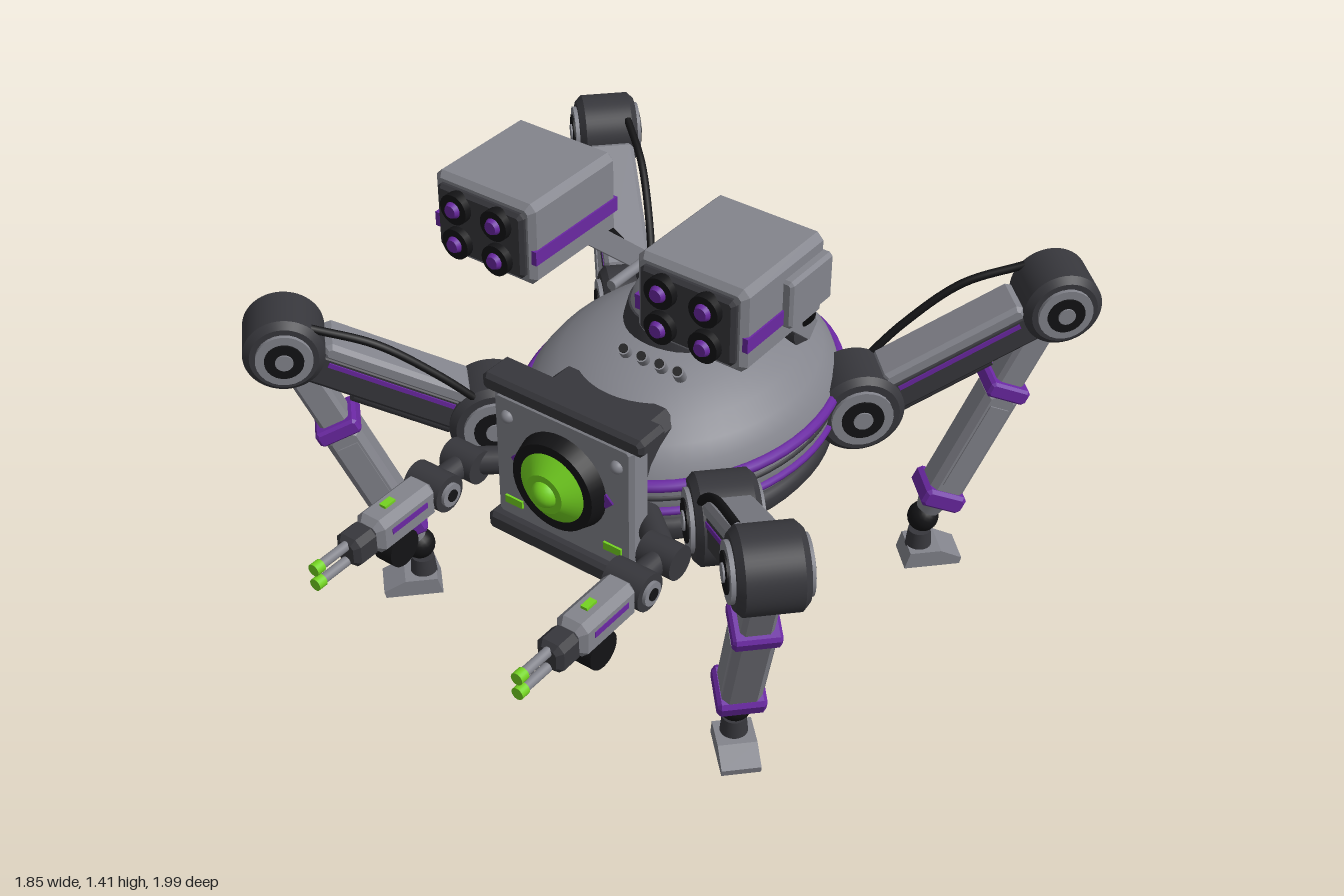
import * as THREE from 'three';

const mat = (name, color) => Object.assign(new THREE.MeshStandardMaterial({ color }), { name });
const grey = mat('hull grey', 0x83848c);
const dark = mat('dark armour', 0x37373c);
const black = mat('rubber black', 0x131315);
const purple = mat('purple trim', 0x6a28a2);
const green = mat('green glow', 0x74d321);

function add(parent, name, geo, material, x = 0, y = 0, z = 0) {
  const m = new THREE.Mesh(geo, material);
  m.name = name;
  m.position.set(x, y, z);
  parent.add(m);
  return m;
}
function group(parent, name, x = 0, y = 0, z = 0) {
  const g = new THREE.Group();
  g.name = name;
  g.position.set(x, y, z);
  parent.add(g);
  return g;
}
const box = (w, h, d) => new THREE.BoxGeometry(w, h, d);
const ball = (r) => new THREE.SphereGeometry(r, 20, 14);
const cyl = (r, len, axis = 'y', r2 = r, n = 24) => {
  const g = new THREE.CylinderGeometry(r2, r, len, n);
  if (axis === 'x') g.rotateZ(-Math.PI / 2);
  if (axis === 'z') g.rotateX(Math.PI / 2);
  return g;
};
// Box with every edge chamfered by c, centred on its origin
function chamfer(w, h, d, c) {
  const a = w / 2 - c, b = h / 2 - c, k = c * 0.6;
  const pts = [[-a + k, -b], [a - k, -b], [a, -b + k], [a, b - k], [a - k, b], [-a + k, b], [-a, b - k], [-a, -b + k]];
  const shape = new THREE.Shape(pts.map(p => new THREE.Vector2(...p)));
  const g = new THREE.ExtrudeGeometry(shape, { depth: d - 2 * c, bevelThickness: c, bevelSize: c, bevelSegments: 1 });
  return g.translate(0, 0, c - d / 2);
}
const tube = (pts, r) => new THREE.TubeGeometry(
  new THREE.CatmullRomCurve3(pts.map(p => new THREE.Vector3(...p))), 24, r, 8);
const lathe = (pts) => new THREE.LatheGeometry(pts.map(p => new THREE.Vector2(...p)), 56);

// Straight part (long in y) laid between two points
function between(mesh, a, b) {
  const p = new THREE.Vector3(...a), q = new THREE.Vector3(...b);
  mesh.position.copy(p).add(q).multiplyScalar(0.5);
  mesh.quaternion.setFromUnitVectors(new THREE.Vector3(0, 1, 0), q.sub(p).normalize());
}

// Dark vent with glowing slats, facing +z
function vent(parent, w, h, n) {
  add(parent, 'ventFrame', chamfer(w, h, 0.03, 0.006), dark);
  for (let i = 0; i < n; i++)
    add(parent, 'ventSlat', box(w * 0.8, h * 0.07, 0.006), green, 0, h * ((i + 0.5) / n - 0.5) * 0.8, 0.017);
}

// Drum joint with hub discs, axis along z
function drum(parent, name, r, len, x = 0, y = 0) {
  const g = group(parent, name, x, y, 0);
  const e = len / 2, c = 0.018;
  const body = lathe([[0, -e], [r - c, -e], [r - c, -e], [r, -e + c], [r, -e + c], [r, e - c], [r, e - c], [r - c, e], [r - c, e], [0, e]]);
  add(g, 'drumBody', body.rotateX(Math.PI / 2), dark);
  add(g, 'hubDisc', cyl(r * 0.7, len + 0.024, 'z'), grey);
  add(g, 'hubRing', cyl(r * 0.48, len + 0.034, 'z'), black);
  add(g, 'hubCap', cyl(r * 0.22, len + 0.044, 'z'), grey);
}

function addBody(root) {
  const body = group(root, 'body', 0, 0, -0.17);
  body.scale.z = 1.23;
  add(body, 'belly', lathe([[0, 0.39], [0.17, 0.397], [0.27, 0.415], [0.35, 0.45], [0.395, 0.49]]), grey);
  add(body, 'lowerRim', lathe([[0.37, 0.47], [0.4, 0.475], [0.41, 0.49], [0.41, 0.52], [0.4, 0.535], [0.38, 0.54]]), dark);
  add(body, 'waist', lathe([[0.38, 0.53], [0.405, 0.56], [0.415, 0.62], [0.415, 0.69]]), grey);
  add(body, 'dome', lathe([[0.415, 0.69], [0.4, 0.735], [0.37, 0.775], [0.32, 0.818], [0.25, 0.86], [0.17, 0.89], [0.08, 0.907], [0, 0.91]]), grey);
  for (const [r, y, t] of [[0.416, 0.68, 0.018], [0.412, 0.59, 0.013]])
    add(body, 'purpleRing', new THREE.TorusGeometry(r, t, 10, 64).rotateX(Math.PI / 2), purple, 0, y, 0);
  add(body, 'darkRing', new THREE.TorusGeometry(0.41, 0.01, 8, 64).rotateX(Math.PI / 2), dark, 0, 0.635, 0);

  const rear = group(root, 'rearVent', 0, 0.755, -0.645);
  rear.rotation.set(-0.6, Math.PI, 0, 'YXZ');
  vent(rear, 0.2, 0.12, 3);

  // Row of small exhaust pipes on the dome
  for (let i = 0; i < 4; i++) {
    const p = group(root, 'exhaustPipe', -0.03 + i * 0.06, 0.9, 0.06);
    p.rotation.set(0.7, 0, -0.3);
    add(p, 'pipe', cyl(0.017, 0.08), grey);
    add(p, 'pipeMouth', cyl(0.013, 0.006), black, 0, 0.04, 0);
  }
}

function addTurret(root) {
  const t = group(root, 'sensorTurret', 0, 0, -0.18);
  add(t, 'turretBase', cyl(0.175, 0.06, 'y', 0.16, 40), dark, 0, 0.925, 0);
  add(t, 'turretDome', lathe([[0.155, 0.95], [0.145, 0.985], [0.12, 1.02], [0.08, 1.045], [0, 1.055]]), grey);
  add(t, 'sensorHead', chamfer(0.14, 0.1, 0.17, 0.015), grey, 0, 1.085, 0.02);
  add(t, 'lensRing', cyl(0.047, 0.03, 'z'), black, 0, 1.09, 0.11);
  add(t, 'lens', ball(0.036), green, 0, 1.09, 0.115);
  for (const s of [-1, 1]) {
    add(t, 'sensorRod', cyl(0.015, 0.22, 'z'), grey, s * 0.092, 1.08, 0.11);
    add(t, 'rodMount', cyl(0.024, 0.07, 'z'), dark, s * 0.088, 1.08, 0.02);
  }
}

function addFace(root) {
  const f = group(root, 'facePlate');
  add(f, 'neck', chamfer(0.4, 0.36, 0.22, 0.03), dark, 0, 0.66, 0.22);
  add(f, 'plate', chamfer(0.47, 0.42, 0.08, 0.012), grey, 0, 0.665, 0.345);
  add(f, 'browBar', chamfer(0.54, 0.055, 0.11, 0.012), dark, 0, 0.892, 0.335);
  add(f, 'chinBar', chamfer(0.51, 0.06, 0.12, 0.012), dark, 0, 0.43, 0.35);
  add(f, 'eyeRing', cyl(0.15, 0.05, 'z', 0.135, 40), black, 0, 0.675, 0.405);
  add(f, 'eye', cyl(0.108, 0.035, 'z', 0.06, 40), green, 0, 0.675, 0.447);
  add(f, 'pupil', ball(0.042), green, 0, 0.675, 0.452);
  for (const s of [-1, 1]) {
    add(f, 'eyeMarker', cyl(0.024, 0.01, 'z', 0.024, 4), purple, s * 0.15, 0.675, 0.386);
    add(f, 'faceLight', box(0.06, 0.024, 0.01), green, s * 0.17, 0.52, 0.387);
    for (const y of [0.805]) add(f, 'bolt', ball(0.02), grey, s * 0.185, y, 0.383);
  }
}

function addGun(root, s) {
  const g = group(root, s > 0 ? 'leftGun' : 'rightGun', s * 0.34, 0.585, 0);
  between(add(g, 'gunMount', cyl(0.04, 0.2), dark), [-s * 0.15, 0, 0.27], [0, 0, 0.39]);
  add(g, 'shoulder', cyl(0.05, 0.11, 'x'), dark, 0, 0, 0.39);
  add(g, 'gunLink', cyl(0.035, 0.12, 'z'), dark, 0, 0, 0.46);
  add(g, 'elbow', cyl(0.055, 0.12, 'x'), dark, 0, 0, 0.53);
  add(g, 'elbowHub', cyl(0.035, 0.14, 'x'), grey, 0, 0, 0.53);
  add(g, 'elbowCap', cyl(0.018, 0.148, 'x'), black, 0, 0, 0.53);
  add(g, 'receiver', chamfer(0.1, 0.11, 0.23, 0.018), grey, 0, 0, 0.68);
  add(g, 'sideStripe', box(0.104, 0.018, 0.14), purple, 0, 0.01, 0.68);
  add(g, 'gunLight', box(0.022, 0.016, 0.04), green, 0, 0.055, 0.71);
  add(g, 'sleeve', chamfer(0.085, 0.09, 0.09, 0.015), dark, 0, 0, 0.835);
  add(g, 'ammoDrum', cyl(0.056, 0.06, 'x'), black, 0, -0.1, 0.69);
  for (const y of [-0.028, 0.022]) {
    add(g, 'barrel', cyl(0.014, 0.1, 'z'), grey, 0, y, 0.925);
    add(g, 'muzzle', cyl(0.018, 0.028, 'z'), green, 0, y, 0.986);
  }
}

function addPod(root, s) {
  const g = group(root, s > 0 ? 'leftPod' : 'rightPod', s * 0.332, 1.288, 0.095);
  add(g, 'podBox', chamfer(0.335, 0.245, 0.36, 0.016), grey);
  add(g, 'podBand', box(0.345, 0.042, 0.35), purple, 0, -0.032, 0);
  add(g, 'sidePanel', chamfer(0.04, 0.14, 0.19, 0.008), grey, s * 0.175, 0.005, -0.08);
  add(g, 'launcherPlate', chamfer(0.29, 0.195, 0.04, 0.01), dark, 0, 0, 0.178);
  for (const x of [-0.068, 0.068]) for (const y of [-0.053, 0.053]) {
    add(g, 'launchTube', cyl(0.044, 0.04, 'z'), black, x, y, 0.2);
    add(g, 'missileTip', cyl(0.027, 0.02, 'z', 0.018), purple, x, y, 0.223);
  }
  const back = group(g, 'podVent', 0, 0, -0.19);
  back.rotation.y = Math.PI;
  vent(back, 0.2, 0.1, 3);

  // Support arm and hose
  add(root, 'armBracket', cyl(0.055, 0.09, 'x'), dark, s * 0.23, 0.865, -0.37);
  between(add(root, 'podArm', box(0.035, 0.46, 0.06), grey), [s * 0.285, 0.87, -0.37], [s * 0.285, 1.17, -0.03]);
  add(root, 'podHose', tube([[s * 0.25, 0.87, -0.33], [s * 0.33, 0.96, -0.31], [s * 0.345, 1.09, -0.2], [s * 0.33, 1.18, -0.07]], 0.012), black);
}

// Leg in its own frame: x points outward, origin under the hip
function addLeg(root, sx, sz) {
  const leg = group(root, (sz > 0 ? 'front' : 'back') + (sx > 0 ? 'Left' : 'Right') + 'Leg', sx * 0.4, 0, -0.13 + sz * 0.33);
  leg.rotation.y = Math.atan2(-sz, sx);
  const side = sx * sz;
  drum(leg, 'hip', 0.128, 0.18, 0, 0.62);
  between(add(leg, 'hipMount', cyl(0.08, 0.2), dark), [-0.2, 0.62, 0], [0, 0.62, 0]);
  drum(leg, 'knee', 0.112, 0.18, 0.56, 0.92);

  const thigh = group(leg, 'thigh', 0, 0.62, 0);
  thigh.rotation.z = Math.atan2(0.3, 0.56);
  add(thigh, 'thighCore', chamfer(0.52, 0.11, 0.13, 0.015), dark, 0.32, -0.015, 0);
  add(thigh, 'thighPlate', chamfer(0.44, 0.05, 0.14, 0.012), grey, 0.32, 0.05, 0);
  add(thigh, 'thighStripe', box(0.38, 0.014, 0.138), purple, 0.32, 0.012, 0);
  add(thigh, 'piston', cyl(0.028, 0.3, 'x'), dark, 0.24, -0.085, 0);
  add(thigh, 'pistonRod', cyl(0.015, 0.5, 'x'), grey, 0.34, -0.085, 0);
  add(thigh, 'cable', tube([[0.08, 0.06, side * 0.07], [0.22, 0.1, side * 0.078], [0.42, 0.13, side * 0.078], [0.6, 0.1, side * 0.06]], 0.012), black);

  const shin = group(leg, 'shin', 0.56, 0.92, 0);
  shin.rotation.z = -Math.atan2(0.334, 0.79);
  add(shin, 'shinUpper', chamfer(0.088, 0.28, 0.088, 0.012), grey, 0, -0.2, 0);
  add(shin, 'shinMain', chamfer(0.11, 0.42, 0.11, 0.018), grey, 0, -0.53, 0);
  add(shin, 'shinPanel', box(0.06, 0.3, 0.118), grey, 0, -0.52, 0);
  add(shin, 'upperBand', chamfer(0.128, 0.05, 0.128, 0.008), purple, 0, -0.315, 0);
  add(shin, 'lowerBand', chamfer(0.134, 0.062, 0.134, 0.01), purple, 0, -0.725, 0);
  add(shin, 'ankleCollar', cyl(0.035, 0.05, 'y', 0.05), grey, 0, -0.775, 0);
  add(shin, 'ankleBall', ball(0.047), black, 0, -0.83, 0);

  add(leg, 'anklePost', cyl(0.04, 0.06, 'y', 0.034), dark, 0.23, 0.078, 0);
  const foot = new THREE.Shape([[-0.09, 0], [0.08, 0], [0.085, 0.022], [0.02, 0.055], [-0.075, 0.055]].map(p => new THREE.Vector2(...p)));
  add(leg, 'foot', new THREE.ExtrudeGeometry(foot, { depth: 0.11, bevelEnabled: false }).translate(0, 0, -0.055), grey, 0.268, 0, 0);
}

export function createModel() {
  const root = new THREE.Group();
  root.name = 'walkerRobot';
  addBody(root);
  addTurret(root);
  addFace(root);
  for (const s of [-1, 1]) {
    addGun(root, s);
    addPod(root, s);
    for (const z of [-1, 1]) addLeg(root, s, z);
  }
  return root;
}
